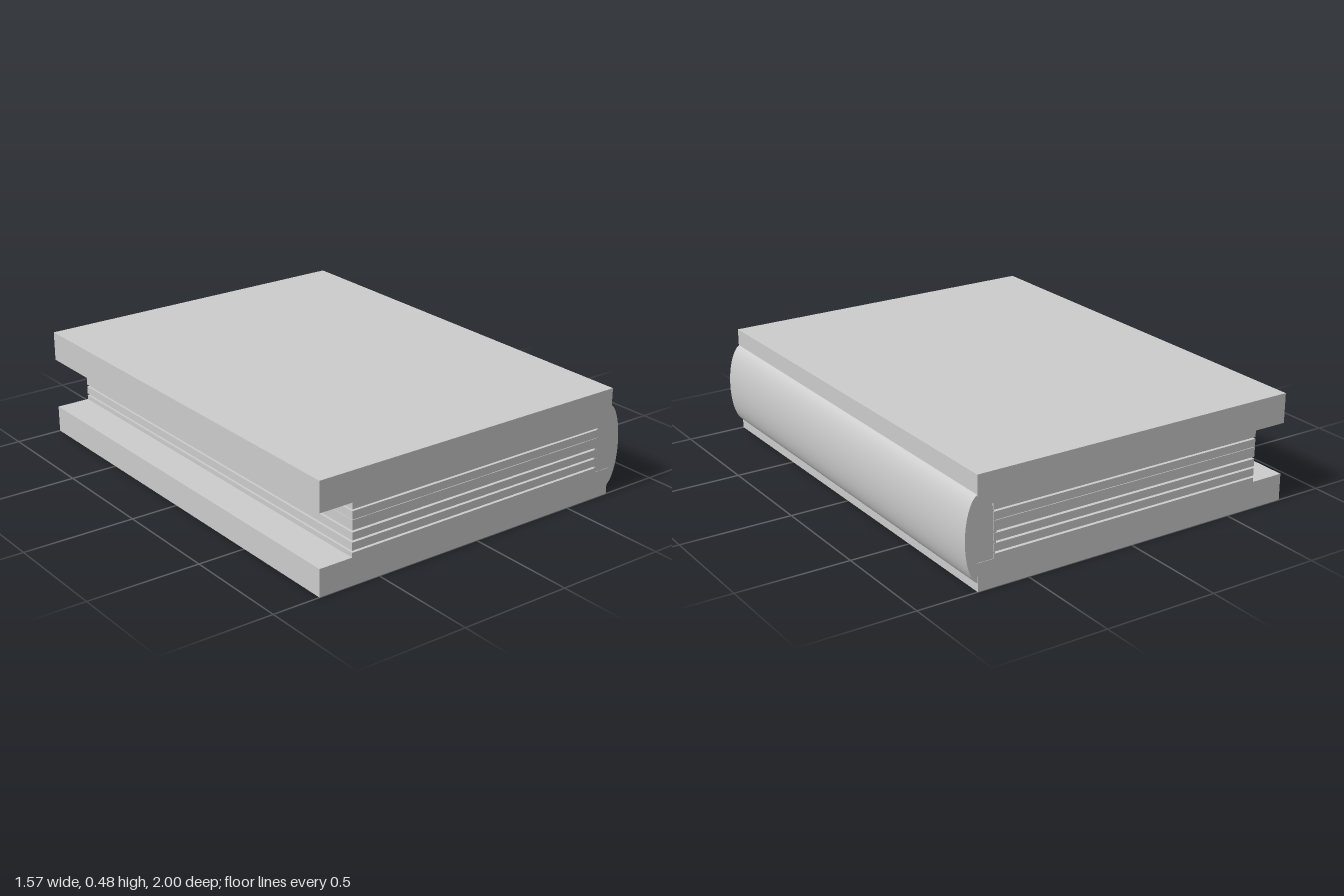
import * as THREE from 'three';

const material = new THREE.MeshStandardMaterial({ color: 0xcccccc });

// Full-depth slab spanning x0..x1 and y0..y1
function slab(name, x0, x1, y0, y1, depth = 2) {
  const mesh = new THREE.Mesh(new THREE.BoxGeometry(x1 - x0, y1 - y0, depth), material);
  mesh.position.set((x0 + x1) / 2, (y0 + y1) / 2, 0);
  mesh.name = name;
  return mesh;
}

export function createModel() {
  const book = new THREE.Group();
  book.name = 'book';

  // Thick covers
  book.add(slab('bottomCover', -0.787, 0.732, 0, 0.12));
  book.add(slab('topCover', -0.787, 0.732, 0.35, 0.482));

  // Page bundles separated by narrow gaps
  const pages = new THREE.Group();
  pages.name = 'pages';
  const bundles = [
    [0.12, 0.14], [0.149, 0.183], [0.192, 0.225],
    [0.234, 0.277], [0.279, 0.314], [0.322, 0.35],
  ];
  bundles.forEach(([y0, y1], i) => pages.add(slab(`pageBundle${i + 1}`, -0.633, 0.662, y0, y1)));
  book.add(pages);

  // Rounded spine: an elliptical bar along z, very slightly tilted
  const spineGeometry = new THREE.CylinderGeometry(1, 1, 1.996, 64);
  spineGeometry.rotateX(Math.PI / 2);
  spineGeometry.scale(0.07, 0.187, 1);
  const spine = new THREE.Mesh(spineGeometry, material);
  spine.name = 'spine';
  spine.position.set(0.717, 0.221, 0);
  spine.rotation.x = -0.003;
  book.add(spine);

  return book;
}
